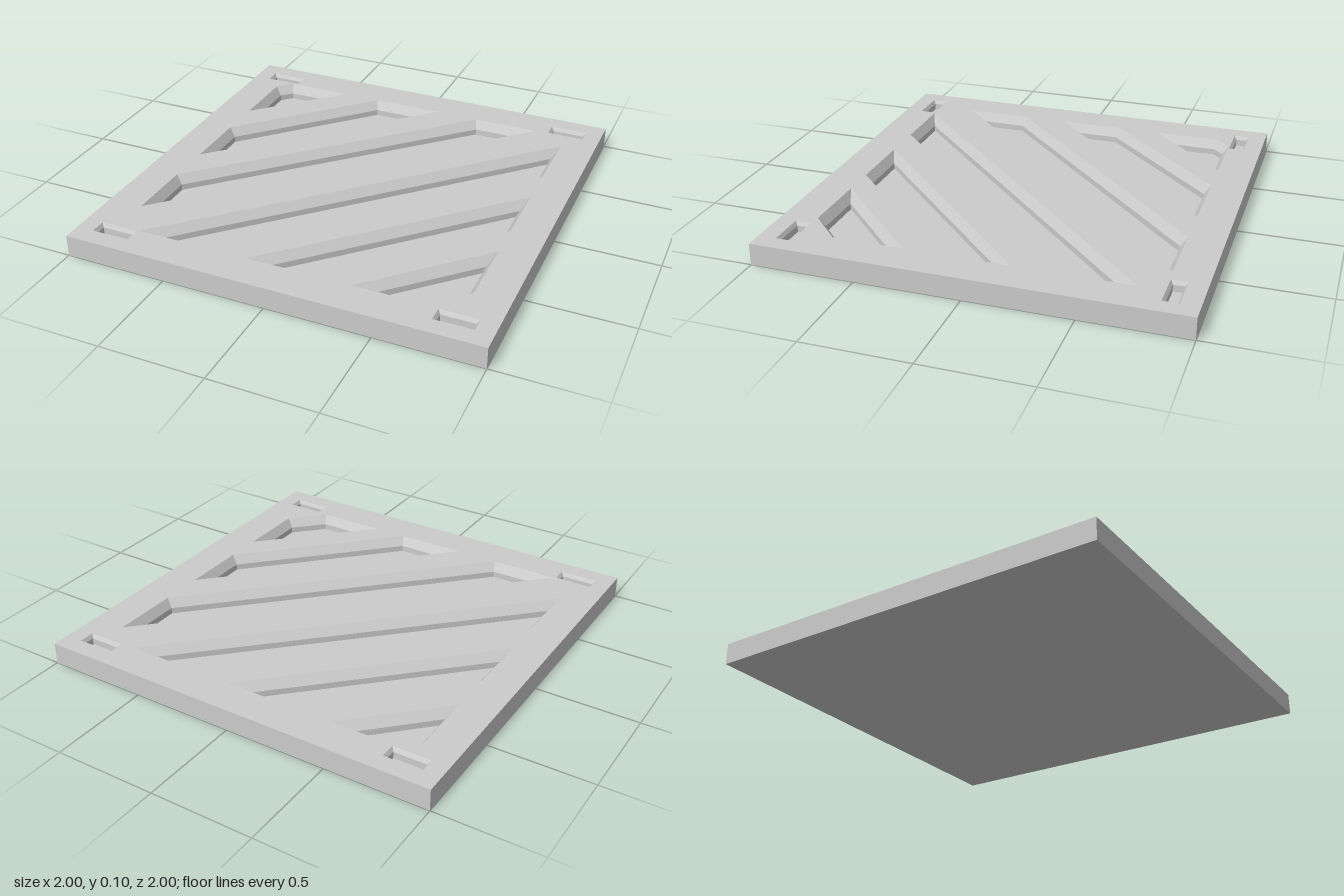
import * as THREE from 'three';

const TOP = 0.105;
const material = new THREE.MeshStandardMaterial({ color: 0xcccccc, flatShading: true });

// Outlines are [x, z] points; returned as Vector2(x, -z), counter-clockwise from above
function outline(points) {
  const ring = points.map(([x, z]) => new THREE.Vector2(x, -z));
  return THREE.ShapeUtils.area(ring) < 0 ? ring.reverse() : ring;
}

// Mitred inward offset of an outline
function inset(ring, d) {
  const n = ring.length;
  const normals = ring.map((p, i) => {
    const e = ring[(i + 1) % n].clone().sub(p).normalize();
    return new THREE.Vector2(-e.y, e.x);
  });
  return ring.map((p, i) => {
    const a = normals[(i + n - 1) % n], b = normals[i];
    return p.clone().addScaledVector(a.clone().add(b), d / (1 + a.dot(b)));
  });
}

// Walls joining successive rings [{ ring, y }]; downward order faces inward, upward order outward
function walls(levels) {
  const pos = [];
  for (let k = 0; k + 1 < levels.length; k++) {
    const A = levels[k], B = levels[k + 1], n = A.ring.length;
    for (let i = 0; i < n; i++) {
      const j = (i + 1) % n;
      const at = (L, m) => [L.ring[m].x, L.y, -L.ring[m].y];
      pos.push(...at(A, i), ...at(A, j), ...at(B, j), ...at(A, i), ...at(B, j), ...at(B, i));
    }
  }
  const g = new THREE.BufferGeometry();
  g.setAttribute('position', new THREE.Float32BufferAttribute(pos, 3));
  g.computeVertexNormals();
  return g;
}

// Flat horizontal face at height y, with optional holes
function face(ring, y, holes = []) {
  const shape = new THREE.Shape(ring);
  holes.forEach(h => shape.holes.push(new THREE.Path(h)));
  return new THREE.ShapeGeometry(shape).rotateX(-Math.PI / 2).translate(0, y, 0);
}

function add(parent, geometry, name) {
  const mesh = new THREE.Mesh(geometry, material);
  mesh.name = name;
  parent.add(mesh);
}

// Recess with a sloped rim, a short upright wall and a flat floor
function addRecess(parent, ring, name, slope, slopeDepth, depth) {
  const recess = new THREE.Group();
  recess.name = name;
  const inner = inset(ring, slope);
  add(recess, walls([
    { ring, y: TOP },
    { ring: inner, y: TOP - slopeDepth },
    { ring: inner, y: TOP - depth },
  ]), name + 'Walls');
  add(recess, face(inner, TOP - depth), name + 'Floor');
  parent.add(recess);
}

export function createModel() {
  const model = new THREE.Group();
  model.name = 'groovedPlate';

  // Diagonal grooves, from the back left corner to the front right
  const e = 0.83;
  const grooves = [
    [[-e, -0.76], [-0.76, -e], [-0.43, -e], [-e, -0.43]],
    [[-e, -0.22], [-0.24, -e], [0.115, -e], [-e, 0.10]],
    [[-e, 0.32], [0.335, -e], [0.665, -e], [-e, 0.645]],
    [[e, -0.72], [e, -0.385], [-0.385, e], [-0.72, e]],
    [[e, -0.17], [e, 0.155], [0.17, e], [-0.17, e]],
    [[e, 0.335], [e, 0.675], [0.675, e], [0.335, e]],
  ].map(outline);

  // Small rectangular slots in the four corners
  const slots = [];
  for (const sx of [-1, 1]) {
    for (const sz of [-1, 1]) {
      const x0 = sx * 0.732, x1 = sx * 0.915, z0 = sz * 0.837, z1 = sz * 0.913;
      slots.push(outline([[x0, z0], [x1, z0], [x1, z1], [x0, z1]]));
    }
  }

  // Plate: pierced top, sides and underside
  const square = outline([[-1, -1], [1, -1], [1, 1], [-1, 1]]);
  add(model, face(square, TOP, [...grooves, ...slots]), 'plateTop');
  add(model, walls([{ ring: square, y: 0 }, { ring: square, y: TOP }]), 'plateSides');
  add(model, new THREE.PlaneGeometry(2, 2).rotateX(Math.PI / 2), 'plateUnderside');

  grooves.forEach(r => addRecess(model, r, 'groove', 0.03, 0.045, 0.075));
  slots.forEach(r => addRecess(model, r, 'cornerSlot', 0.012, 0.018, 0.05));
  return model;
}
